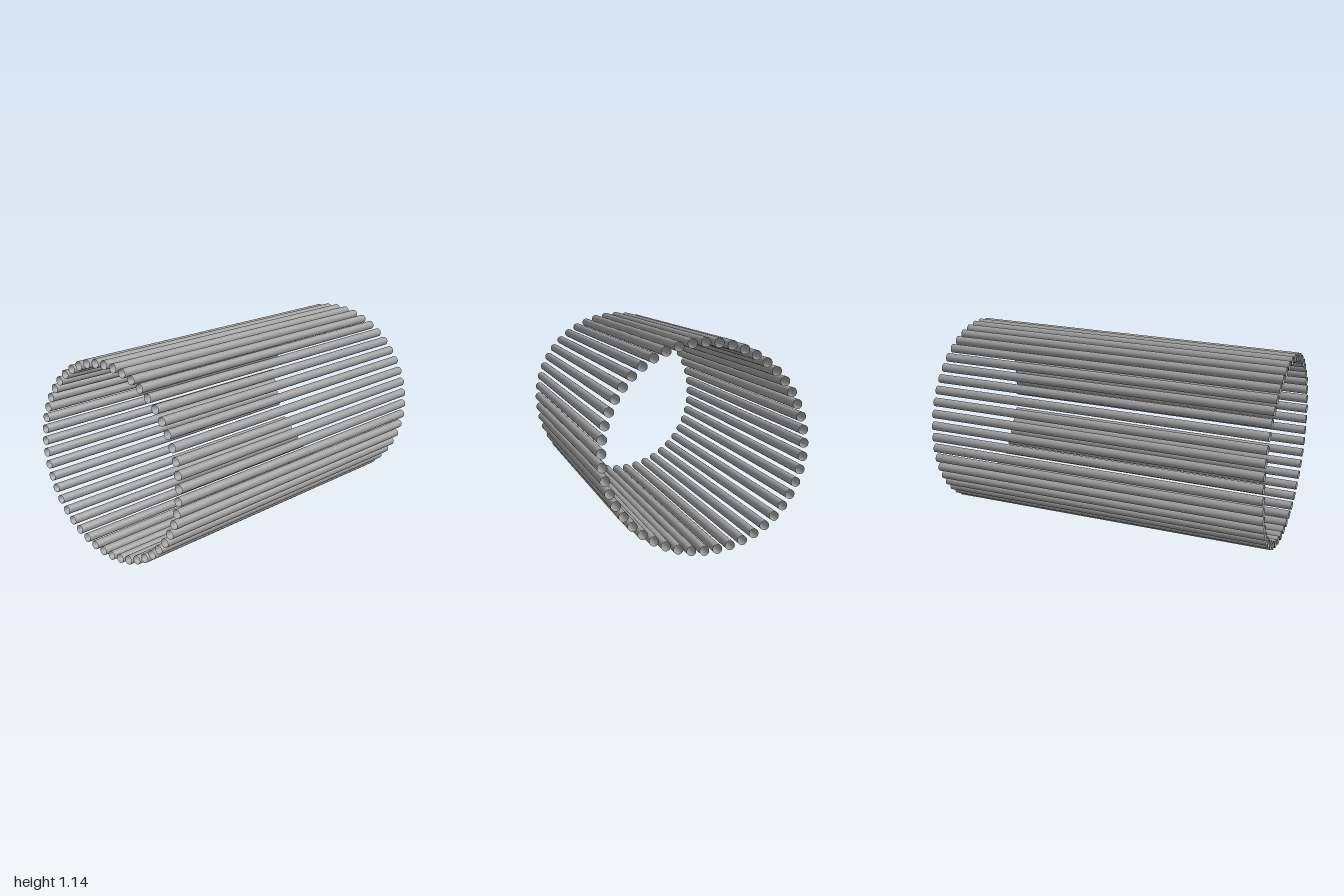
import * as THREE from 'three';

const COUNT = 48;          // tubes around the ring
const RING_RADIUS = 0.545; // ring centre to tube axis
const TUBE_RADIUS = 0.0255;
const LENGTH = 2;

export function createModel() {
  const model = new THREE.Group();
  model.name = 'tubeRing';

  const grey = new THREE.MeshStandardMaterial({ color: 0x9f9f9f, side: THREE.DoubleSide });
  grey.name = 'grey';

  // One open, thin-walled tube lying along z
  const tubeGeometry = new THREE.CylinderGeometry(TUBE_RADIUS, TUBE_RADIUS, LENGTH, 32, 1, true);
  tubeGeometry.rotateX(Math.PI / 2);

  // Parallel tubes evenly spaced around a circle
  const centreY = RING_RADIUS + TUBE_RADIUS;
  for (let i = 0; i < COUNT; i++) {
    const angle = (i / COUNT) * Math.PI * 2;
    const tube = new THREE.Mesh(tubeGeometry, grey);
    tube.name = `tube${i + 1}`;
    tube.position.set(Math.cos(angle) * RING_RADIUS, centreY + Math.sin(angle) * RING_RADIUS, 0);
    model.add(tube);
  }
  return model;
}
